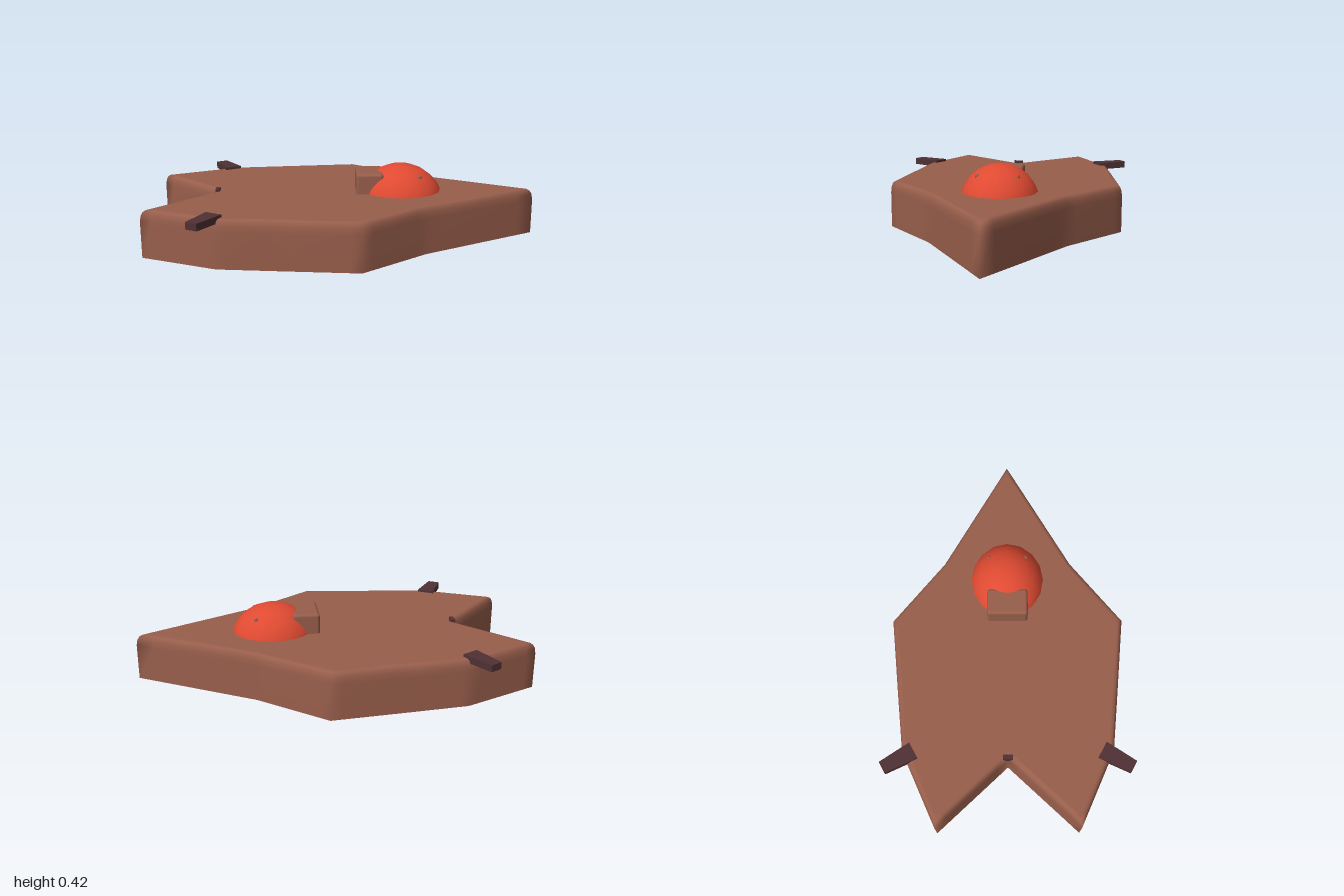
import * as THREE from 'three';
import { RoundedBoxGeometry } from 'three/addons/geometries/RoundedBoxGeometry.js';

const mat = (name, color) => {
  const m = new THREE.MeshStandardMaterial({ color });
  m.name = name;
  return m;
};

// Half outline as [x, z], from the nose to the rear notch
const HALF = [[1, 0], [0.4, 0.34], [0.07, 0.605], [-0.32, 0.565], [-0.62, 0.533], [-1, 0.36], [-0.665, 0]];

// Closed outline with extra points near each corner, so that corners shade softly
function hullOutline() {
  const mirrored = HALF.slice(1, -1).reverse().map(([x, z]) => [x, -z]);
  const corners = [...HALF, ...mirrored].map(([x, z]) => new THREE.Vector2(x, z));
  return corners.flatMap((p, i) => {
    const q = corners[(i + 1) % corners.length];
    return [0, 0.15, 0.85].map((t) => p.clone().lerp(q, t));
  });
}

// Moves every outline point inwards by a mitred distance
function inset(points, d) {
  const n = points.length;
  const normal = (a, b) => new THREE.Vector2(b.y - a.y, a.x - b.x).normalize();
  return points.map((p, i) => {
    const n1 = normal(points[(i + n - 1) % n], p);
    const n2 = normal(p, points[(i + 1) % n]);
    const m = n1.clone().add(n2).normalize();
    return p.clone().addScaledVector(m, -d / m.dot(n1));
  });
}

// Flat cap triangles, wound to face up or down
function capIndices(points, start, up) {
  return THREE.ShapeUtils.triangulateShape(points, []).flatMap(([a, b, c]) => {
    const [p, q, r] = [points[a], points[b], points[c]];
    const facesUp = (q.y - p.y) * (r.x - p.x) - (q.x - p.x) * (r.y - p.y) > 0;
    return (facesUp === up ? [a, b, c] : [a, c, b]).map((k) => k + start);
  });
}

function hullGeometry() {
  const outline = hullOutline();
  const n = outline.length;
  // [height, inset] of each ring
  const levels = [[0.035, 0], [0.22, 0], [0.25, 0.003], [0.268, 0.009], [0.277, 0.018], [0.28, 0.03]];
  const rings = levels.map(([, d]) => inset(outline, d));
  const pos = [];
  const idx = [];
  rings.forEach((ring, k) => ring.forEach((p) => pos.push(p.x, levels[k][0], p.y)));
  for (let k = 0; k < rings.length - 1; k++) {
    for (let i = 0; i < n; i++) {
      const a = k * n + i;
      const b = k * n + ((i + 1) % n);
      idx.push(a, a + n, b, b, a + n, b + n);
    }
  }
  idx.push(...capIndices(rings.at(-1), (rings.length - 1) * n, true));
  // Underside has its own vertices for a crisp lower edge
  const start = pos.length / 3;
  outline.forEach((p) => pos.push(p.x, levels[0][0], p.y));
  idx.push(...capIndices(outline, start, false));
  const g = new THREE.BufferGeometry();
  g.setAttribute('position', new THREE.Float32BufferAttribute(pos, 3));
  g.setIndex(idx);
  g.computeVertexNormals();
  return g;
}

// Small fin block, narrower at its outer end
function finGeometry() {
  const g = new THREE.BoxGeometry(0.09, 0.036, 0.175);
  const p = g.attributes.position;
  for (let i = 0; i < p.count; i++) if (p.getZ(i) > 0) p.setX(i, p.getX(i) * 0.7);
  g.computeVertexNormals();
  return g;
}

export function createModel() {
  const brown = mat('hull brown', 0x985e4b);
  const red = mat('dome red', 0xe04a32);
  const dark = mat('fin dark brown', 0x4f3134);
  const model = new THREE.Group();
  model.name = 'arrowheadCraft';

  const add = (name, geometry, material, x = 0, y = 0, z = 0) => {
    const mesh = new THREE.Mesh(geometry, material);
    mesh.name = name;
    mesh.position.set(x, y, z);
    model.add(mesh);
    return mesh;
  };

  add('hull', hullGeometry(), brown);

  // Dome passes through the hull and shows below as well
  const dome = add('dome', new THREE.SphereGeometry(1, 16, 12), red, 0.295, 0.21, 0);
  dome.scale.set(0.225, 0.209, 0.203);

  // Block behind the dome
  add('domeBlock', new RoundedBoxGeometry(0.14, 0.17, 0.21, 2, 0.015), brown, 0.13, 0.3, 0);

  // Notch stub
  add('notchStub', new THREE.BoxGeometry(0.022, 0.05, 0.05), dark, -0.662, 0.266, 0);

  for (const s of [1, -1]) {
    const side = s > 0 ? 'front' : 'back';
    add(side + 'Skid', new RoundedBoxGeometry(0.365, 0.05, 0.1, 2, 0.012), brown, -0.003, 0.036, s * 0.338);
    const fin = add(side + 'Fin', finGeometry(), dark, -0.67, 0.275, s * 0.545);
    fin.rotation.y = s > 0 ? -0.51 : Math.PI + 0.51;
    // Tiny studs on the dome
    add(side + 'Stud', new THREE.SphereGeometry(0.012, 8, 6), brown, 0.385, 0.366, s * 0.098);
  }
  return model;
}
